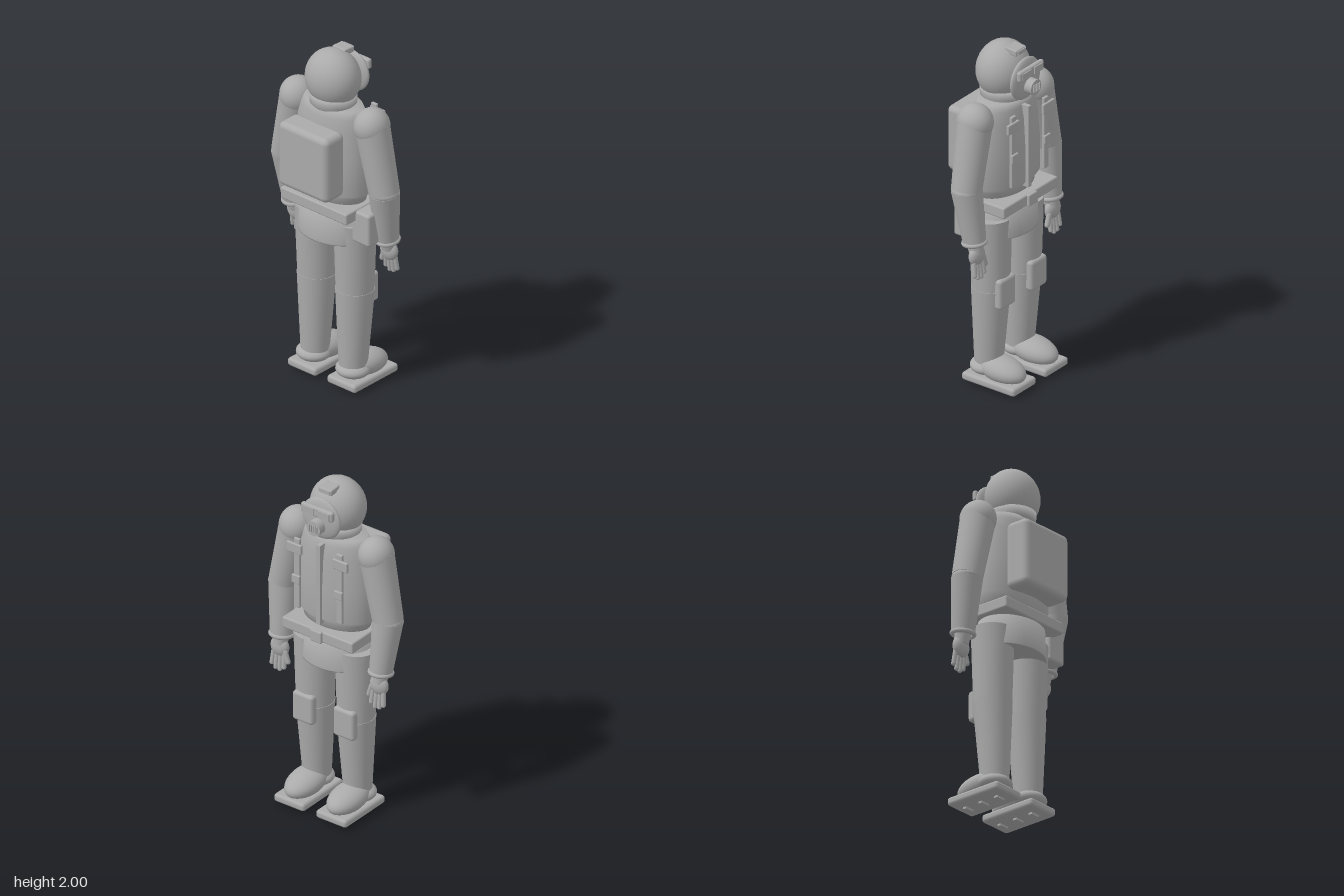
import * as THREE from 'three';
import { RoundedBoxGeometry } from 'three/addons/geometries/RoundedBoxGeometry.js';

const grey = new THREE.MeshStandardMaterial({ color: 0xaaaaaa });
grey.name = 'suit grey';

// The figure looks toward -z and carries its pack on +z.
export function createModel() {
  const model = new THREE.Group();
  model.name = 'suitedFigure';

  function add(name, geometry, x = 0, y = 0, z = 0) {
    const mesh = new THREE.Mesh(geometry, grey);
    mesh.name = name;
    mesh.position.set(x, y, z);
    model.add(mesh);
    return mesh;
  }
  // Ellipsoid from centre and radii
  function ball(name, c, r) {
    return add(name, new THREE.SphereGeometry(1, 32, 20).scale(...r), ...c);
  }
  // Box from its minimum and maximum corners, rounded when a bevel is given
  function block(name, lo, hi, bevel = 0) {
    const size = hi.map((v, i) => v - lo[i]);
    const mid = hi.map((v, i) => (v + lo[i]) / 2);
    const geometry = bevel ? new RoundedBoxGeometry(...size, 2, bevel) : new THREE.BoxGeometry(...size);
    return add(name, geometry, ...mid);
  }
  // Tapered cylinder between two points
  function limb(name, a, b, ra, rb) {
    const start = new THREE.Vector3(...a), end = new THREE.Vector3(...b);
    const dir = start.clone().sub(end);
    const mesh = add(name, new THREE.CylinderGeometry(ra, rb, dir.length(), 28));
    mesh.position.copy(start).add(end).multiplyScalar(0.5);
    mesh.quaternion.setFromUnitVectors(new THREE.Vector3(0, 1, 0), dir.normalize());
    return mesh;
  }
  // Revolved profile of [radius, y], bottom to top, squashed in z
  function turned(name, points, depth, z = 0) {
    const profile = points.map(p => new THREE.Vector2(...p));
    return add(name, new THREE.LatheGeometry(profile, 40).scale(1, 1, depth), 0, 0, z);
  }

  // Torso, jacket skirt and neck
  turned('torso', [[0, 1.1], [0.2, 1.1], [0.21, 1.17], [0.245, 1.2], [0.242, 1.4],
    [0.225, 1.58], [0.205, 1.65], [0.185, 1.69], [0, 1.7]], 0.63, -0.005);
  turned('jacketSkirt', [[0, 0.895], [0.215, 0.895], [0.215, 0.9], [0.205, 1.1], [0, 1.1]], 0.775, -0.006);
  turned('neckCollar', [[0, 1.66], [0.105, 1.665], [0.13, 1.69], [0.132, 1.745], [0, 1.75]], 0.97, 0);

  // Helmet, face plate, goggles and breather
  ball('helmet', [0, 1.835, 0.002], [0.161, 0.165, 0.143]);
  ball('facePlate', [0, 1.82, -0.145], [0.127, 0.123, 0.031]);
  block('goggleFrame', [-0.107, 1.845, -0.195], [0.107, 1.905, -0.165], 0.012);
  for (const s of [-1, 1])
    block('goggleLens', [s * 0.052 - 0.038, 1.855, -0.201], [s * 0.052 + 0.038, 1.895, -0.193]);
  const breather = add('breather', new THREE.CylinderGeometry(0.045, 0.045, 0.06, 28), 0, 1.786, -0.19);
  breather.rotation.x = Math.PI / 2;
  for (let i = -2; i <= 2; i++)
    block('breatherSlat', [i * 0.013 - 0.003, 1.765, -0.227], [i * 0.013 + 0.003, 1.808, -0.217]);
  const lamp = block('headLamp', [-0.046, 1.957, -0.12], [0.046, 1.993, -0.04], 0.008);
  lamp.rotation.x = -0.06;
  block('lampLens', [-0.034, 1.963, -0.126], [0.034, 1.985, -0.118]);

  // Pack, belt and hip pouch
  block('backpack', [-0.178, 1.21, 0.1], [0.178, 1.6, 0.255], 0.035);
  block('belt', [-0.238, 1.07, -0.186], [0.238, 1.137, 0.162], 0.01);
  block('beltBuckle', [-0.038, 1.068, -0.203], [0.038, 1.139, -0.18], 0.008);
  block('hipPouch', [0.205, 0.937, -0.04], [0.333, 1.13, 0.086], 0.016);

  // Chest zip and straps
  block('zip', [-0.012, 1.17, -0.178], [0.012, 1.66, -0.13]);
  for (const s of [-1, 1]) {
    block('strap', [s * 0.143 - 0.02, 1.225, -0.181], [s * 0.143 + 0.02, 1.655, -0.163], 0.005);
    block('strapPatch', [s * 0.155 - 0.05, 1.565, -0.192], [s * 0.155 + 0.05, 1.625, -0.174], 0.006);
    block('strapClip', [s * 0.143 - 0.027, 1.38, -0.192], [s * 0.143 + 0.027, 1.43, -0.174], 0.005);
  }

  for (const s of [-1, 1]) {
    // Arm
    ball('shoulder', [s * 0.267, 1.625, -0.012], [0.098, 0.105, 0.103]);
    limb('upperArm', [s * 0.267, 1.63, -0.012], [s * 0.35, 1.25, -0.018], 0.098, 0.085);
    ball('elbow', [s * 0.35, 1.25, -0.018], [0.085, 0.05, 0.085]);
    limb('forearm', [s * 0.35, 1.25, -0.018], [s * 0.335, 0.94, -0.06], 0.086, 0.064);
    const cuff = add('cuff', new THREE.TorusGeometry(0.06, 0.013, 10, 28), s * 0.335, 0.938, -0.06);
    cuff.rotation.x = Math.PI / 2 + 0.13;

    // Hand
    limb('wrist', [s * 0.335, 0.94, -0.062], [s * 0.335, 0.88, -0.072], 0.045, 0.04);
    ball('palm', [s * 0.335, 0.865, -0.075], [0.058, 0.06, 0.034]);
    [0.74, 0.722, 0.725, 0.745].forEach((tip, i) => {
      const x = s * (0.298 + i * 0.025);
      const finger = add('finger', new THREE.CapsuleGeometry(0.013, 0.85 - tip - 0.026, 5, 12),
        x, (0.85 + tip) / 2, -0.088);
      finger.rotation.x = 0.12;
      finger.rotation.z = s * (i - 1.5) * 0.05;
    });
    const thumb = add('thumb', new THREE.CapsuleGeometry(0.015, 0.06, 5, 12), s * 0.283, 0.82, -0.085);
    thumb.rotation.z = -s * 0.3;

    // Leg
    limb('thigh', [s * 0.14, 1.01, -0.018], [s * 0.138, 0.58, -0.02], 0.118, 0.105);
    limb('shin', [s * 0.138, 0.585, -0.02], [s * 0.137, 0.12, -0.006], 0.108, 0.079);
    block('kneePad', [s * 0.138 - 0.07, 0.485, -0.14], [s * 0.138 + 0.07, 0.665, -0.088], 0.02);

    // Boot
    ball('bootHeel', [s * 0.142, 0.098, 0], [0.098, 0.047, 0.094]);
    const toe = ball('bootToe', [s * 0.142, 0.102, -0.095], [0.096, 0.07, 0.152]);
    toe.rotation.x = -0.12;
    block('bootSole', [s * 0.142 - 0.103, 0.012, -0.255], [s * 0.142 + 0.103, 0.06, 0.102], 0.018);
    for (const z of [-0.19, -0.08, 0.03])
      block('bootTread', [s * 0.142 - 0.03, 0, z - 0.012], [s * 0.142 + 0.03, 0.014, z + 0.012]);
  }
  return model;
}
